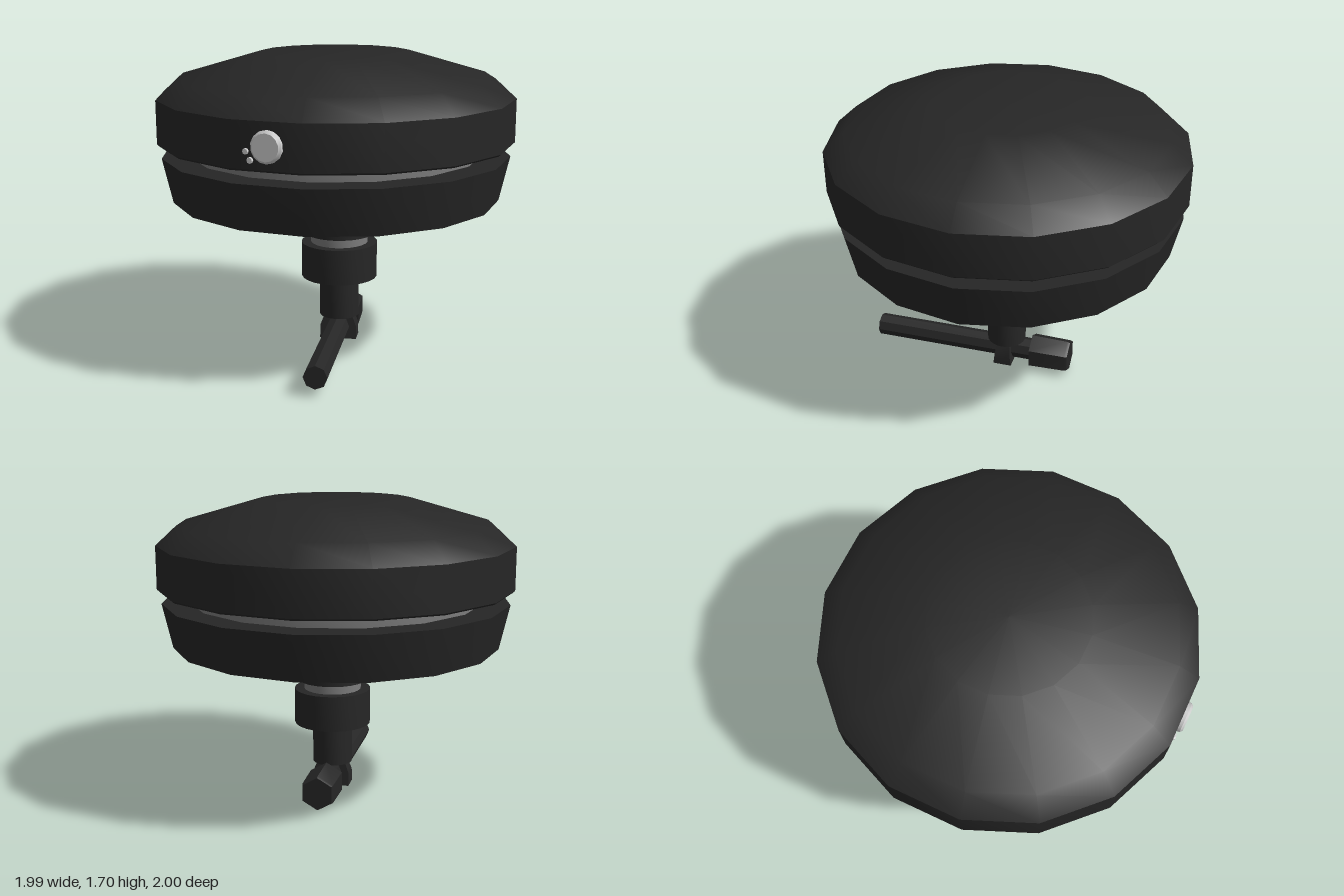
import * as THREE from 'three';
import { toCreasedNormals } from 'three/addons/utils/BufferGeometryUtils.js';

const material = (color) => new THREE.MeshStandardMaterial({ color });

export function createModel() {
  const model = new THREE.Group();
  const black = material(0x262626);
  const grey = material(0x7c7c7c);
  const light = material(0xcccccc);
  const axisX = 0.022; // the stem sits slightly off centre

  function add(name, geometry, mat, x = 0, y = 0, z = 0) {
    const mesh = new THREE.Mesh(toCreasedNormals(geometry, 0.52), mat);
    mesh.name = name;
    mesh.position.set(x, y, z);
    model.add(mesh);
    return mesh;
  }

  // Turned part from [radius, y] pairs, bottom to top
  function turned(name, points, sides, mat, x = 0, z = 0) {
    const profile = points.map(([r, y]) => new THREE.Vector2(r, y));
    return add(name, new THREE.LatheGeometry(profile, sides), mat, x, 0, z);
  }

  // Round body: domed cap, recessed band, tapered base
  turned('domedCap', [[0, 1.21], [0.985, 1.21], [0.995, 1.22], [0.995, 1.46],
    [0.88, 1.565], [0.42, 1.70], [0, 1.70]], 16, black);
  turned('recessedBand', [[0, 1.13], [0.82, 1.13], [0.82, 1.22], [0, 1.22]], 16, grey);
  turned('taperedBase', [[0, 0.89], [0.917, 0.89], [0.973, 1.14], [0, 1.14]], 16, black);

  // Stem under the body
  const stem = [
    ['upperCollar', 0.217, 0.69, 0.90, black],
    ['collarLip', 0.197, 0.67, 0.70, black],
    ['stemRing', 0.163, 0.60, 0.68, grey],
    ['lowerCollar', 0.217, 0.415, 0.617, black],
    ['shaft', 0.113, 0.178, 0.42, black],
  ];
  for (const [name, r, low, high, mat] of stem) {
    turned(name, [[0, low], [r, low], [r, high], [0, high]], 24, mat, axisX, 0.004);
  }

  // Clamp block holding the rod, thicker towards its foot
  const outline = new THREE.Shape([[-0.085, 0.04], [0.105, 0.04], [0.105, 0.115],
    [0.08, 0.18], [-0.08, 0.18], [-0.105, 0.115], [-0.105, 0.04]]
    .map(([x, y]) => new THREE.Vector2(x, y)));
  const clamp = new THREE.ExtrudeGeometry(outline, { depth: 1, bevelEnabled: false });
  const p = clamp.attributes.position;
  for (let i = 0; i < p.count; i++) {
    const half = THREE.MathUtils.mapLinear(p.getY(i), 0.04, 0.18, 0.054, 0.038);
    p.setZ(i, (p.getZ(i) - 0.5) * 2 * half);
  }
  add('rodClamp', clamp, black, axisX, 0, 0.005);

  // Faceted cross rod and its tapered hexagonal knob
  const rod = new THREE.CylinderGeometry(0.065, 0.065, 0.97, 8);
  rod.rotateX(Math.PI / 2);
  add('crossRod', rod, black, axisX, 0.111, 0.325);
  const knob = new THREE.LatheGeometry([[0, -0.115], [0.094, -0.115], [0.1, -0.1],
    [0.105, 0.115], [0, 0.115]].map(([r, y]) => new THREE.Vector2(r, y)), 6);
  knob.rotateX(Math.PI / 2);
  add('rodKnob', knob, black, axisX, 0.108, -0.27);

  // Button and two indicator studs on one facet of the cap
  const tilt = -Math.PI / 16;
  function stud(name, x, y, r, height, sides) {
    const geometry = new THREE.LatheGeometry([[0, -0.03], [r, -0.03], [r, height * 0.6],
      [r * 0.85, height], [0, height]].map(([a, b]) => new THREE.Vector2(a, b)), sides);
    geometry.rotateX(Math.PI / 2);
    const mesh = add(name, geometry, light, x, y, 0.995 + x * Math.tan(-tilt));
    mesh.rotation.y = tilt;
  }
  stud('button', -0.175, 1.338, 0.082, 0.03, 14);
  stud('upperIndicator', -0.286, 1.31, 0.016, 0.012, 8);
  stud('lowerIndicator', -0.264, 1.267, 0.017, 0.012, 8);

  return model;
}
